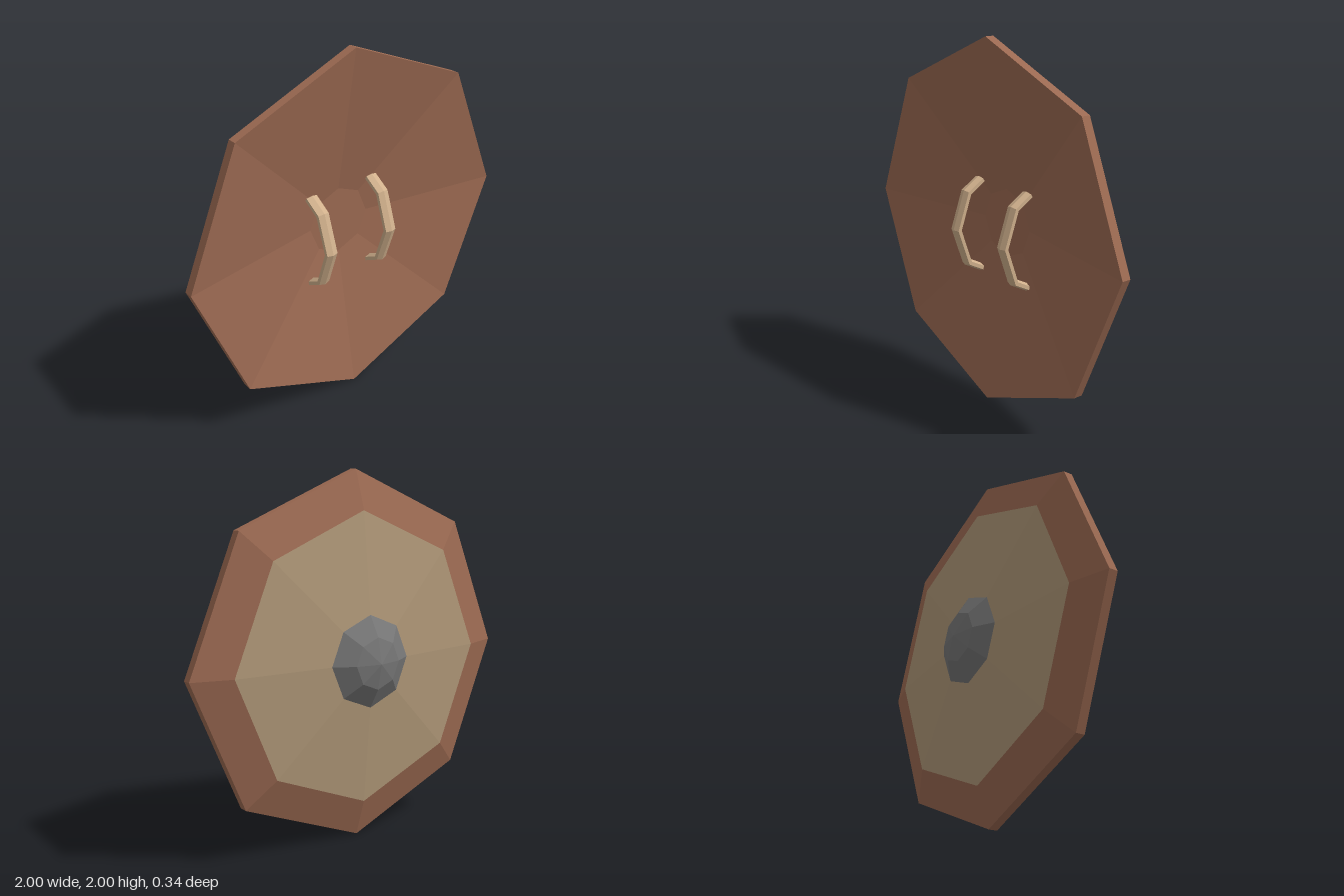
import * as THREE from 'three';

const paint = (color) => new THREE.MeshStandardMaterial({ color, flatShading: true });

// Eight-sided turned part about the z axis; profile is [radius, z], back to front.
function turned(name, profile, material) {
  const points = profile.map(([r, z]) => new THREE.Vector2(r, z));
  const geometry = new THREE.LatheGeometry(points, 8);
  geometry.rotateX(Math.PI / 2);
  const mesh = new THREE.Mesh(geometry, material);
  mesh.name = name;
  mesh.position.y = 1;
  return mesh;
}

// Flattened hexagonal bar swept along a bent path in the yz plane, with mitred bends.
function bentBar(path, halfWidth, halfThick) {
  const pts = path.map(([y, z]) => new THREE.Vector2(y, z));
  const positions = [];
  const index = [];
  const n = 6;
  pts.forEach((p, i) => {
    const before = p.clone().sub(pts[Math.max(i - 1, 0)]).normalize();
    const after = pts[Math.min(i + 1, pts.length - 1)].clone().sub(p).normalize();
    const tangent = before.clone().add(after).normalize();
    const leg = i === 0 ? after : before;
    const miter = halfThick / tangent.dot(leg);
    for (let k = 0; k < n; k++) {
      const a = (k / n) * Math.PI * 2;
      const out = Math.cos(a) * miter;
      positions.push(
        (Math.sin(a) * halfWidth) / Math.sin(Math.PI / 3),
        p.x - tangent.y * out,
        p.y + tangent.x * out
      );
    }
  });
  for (let i = 0; i < pts.length - 1; i++) {
    for (let k = 0; k < n; k++) {
      const a = i * n + k;
      const b = i * n + ((k + 1) % n);
      index.push(a, b, a + n, b, b + n, a + n);
    }
  }
  // End caps
  const last = (pts.length - 1) * n;
  for (let k = 1; k < n - 1; k++) {
    index.push(0, k + 1, k);
    index.push(last, last + k, last + k + 1);
  }
  const geometry = new THREE.BufferGeometry();
  geometry.setAttribute('position', new THREE.Float32BufferAttribute(positions, 3));
  geometry.setIndex(index);
  geometry.computeVertexNormals();
  return geometry;
}

export function createModel() {
  const group = new THREE.Group();
  group.name = 'shield';

  // Wooden body: sloped back border, rim and dished front
  group.add(turned('woodenBody', [
    [0.79, -0.018], [1, 0.05], [1, 0.1], [0.19, -0.04], [0, -0.04],
  ], paint(0x9c6a52)));

  // Pale facing on the back
  group.add(turned('backFacing', [[0.25, -0.074], [0.79, -0.018]], paint(0xb09878)));

  // Metal boss
  group.add(turned('boss', [[0, -0.17], [0.14, -0.14], [0.25, -0.074]], paint(0x777777)));

  // Pair of bent grips, running from bottom to top
  const grip = bentBar(
    [[0.7, -0.015], [0.75, 0.08], [0.95, 0.149], [1.15, 0.08], [1.21, -0.015]],
    0.033, 0.02
  );
  const gripPaint = paint(0xd0b08c);
  for (const side of [-1, 1]) {
    const mesh = new THREE.Mesh(grip, gripPaint);
    mesh.name = side > 0 ? 'leftGrip' : 'rightGrip';
    mesh.position.x = side * 0.2;
    group.add(mesh);
  }
  return group;
}
